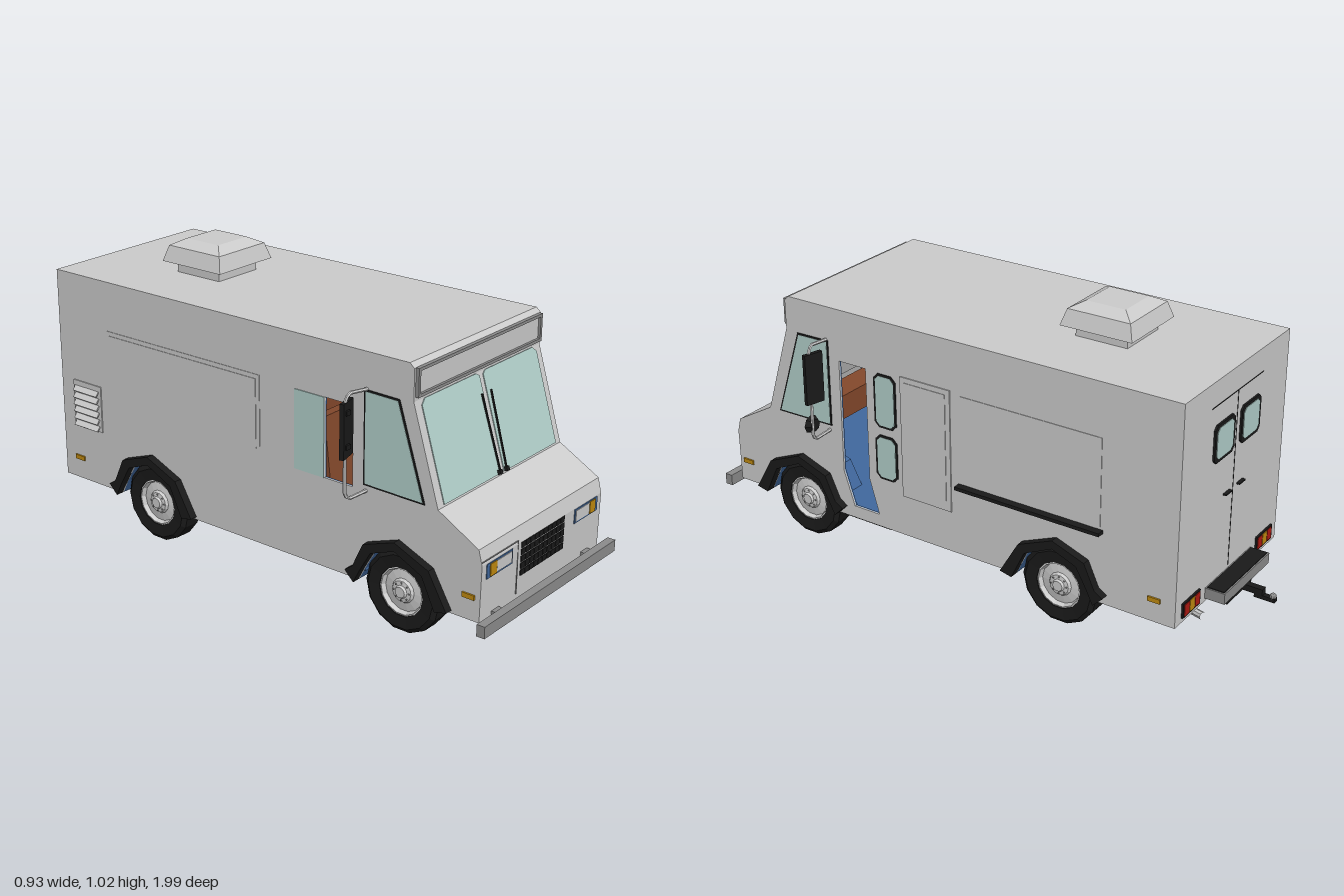
import * as THREE from 'three';

const mat = (color, extra = {}) => new THREE.MeshStandardMaterial({ color, flatShading: true, ...extra });
const grey = mat(0xcccccc), black = mat(0x1a1a1a), blue = mat(0x41699f), glass = mat(0xb2d0cb);
const brown = mat(0x85492c), amber = mat(0xc08a10), red = mat(0xb01a12), dark = mat(0x8c8c8c);
const rim = mat(0xcccccc, { side: THREE.DoubleSide });

export function createModel() {
  const model = new THREE.Group();
  model.name = 'stepVan';

  const add = (name, geo, material, parent = model) => {
    const m = new THREE.Mesh(geo, material);
    m.name = name;
    parent.add(m);
    return m;
  };
  // Box given by its x, y and z ranges
  const box = (name, [x0, x1], [y0, y1], [z0, z1], material, parent) => {
    const m = add(name, new THREE.BoxGeometry(Math.abs(x1 - x0), y1 - y0, Math.abs(z1 - z0)), material, parent);
    m.position.set((x0 + x1) / 2, (y0 + y1) / 2, (z0 + z1) / 2);
    return m;
  };
  const poly = pts => new THREE.Shape(pts.map(p => new THREE.Vector2(...p)));
  // Rectangle with corners cut by c
  const rect = (a0, a1, b0, b1, c = 0) => c === 0 ? [[a0, b0], [a1, b0], [a1, b1], [a0, b1]]
    : [[a0 + c, b0], [a1 - c, b0], [a1, b0 + c], [a1, b1 - c], [a1 - c, b1], [a0 + c, b1], [a0, b1 - c], [a0, b0 + c]];
  // Slab with a (z, y) outline, lying between |x| = x0 and x1 on side s
  const slab = (name, shape, s, x0, x1, material) => {
    const geo = new THREE.ExtrudeGeometry(shape, { depth: x1 - x0, bevelEnabled: false });
    geo.rotateY(-Math.PI / 2).translate(s > 0 ? x1 : -x0, 0, 0);
    return add(name, geo, material);
  };
  const tube = (name, pts, r, material, sides = 6, tension = 0.05) => add(name, new THREE.TubeGeometry(
    new THREE.CatmullRomCurve3(pts.map(p => new THREE.Vector3(...p)), false, 'catmullrom', tension), 32, r, sides), material);

  const W = 0.345, wheelZ = [0.65, -0.4];
  const archOuter = [[0.2, 0.15], [0.185, 0.175], [0.13, 0.27], [0.0, 0.325], [-0.12, 0.282], [-0.16, 0.195], [-0.19, 0.175]];
  const archInner = [[0.155, 0.14], [0.105, 0.245], [0.0, 0.295], [-0.09, 0.26], [-0.13, 0.19], [-0.155, 0.14]];
  const shift = (pts, z) => pts.map(([a, b]) => [a + z, b]);

  // Roof, back, visor, windscreen slope, hood and nose as one bent sheet
  const profile = [[-0.835, 0.14], [-0.835, 0.905], [0.675, 0.905], [0.692, 0.89], [0.692, 0.785],
    [0.79, 0.465], [0.94, 0.38], [0.953, 0.33], [0.95, 0.14]];
  const inner = profile.map(([z, y]) => [z - 0.012 * Math.sign(z), y > 0.2 ? y - 0.01 : y]);
  slab('bodySheet', poly([...profile, ...inner.slice().reverse()]), 1, -W + 0.001, W - 0.001, grey);

  // Side walls with wheel arches and door openings, lined inside
  const notches = [...shift(archInner, wheelZ[0]), ...shift(archInner, wheelZ[1])];
  const doorways = {
    1: [[0.318, 0.185], [0.425, 0.185], [0.467, 0.31], [0.467, 0.72], [0.355, 0.72], [0.355, 0.31]],
    [-1]: rect(0.355, 0.467, 0.45, 0.72),
  };
  for (const s of [1, -1]) {
    const doorway = new THREE.Path(doorways[s].map(p => new THREE.Vector2(...p)));
    const wall = poly([...profile, ...notches]), lining = poly([...inner, ...notches]);
    wall.holes.push(doorway);
    lining.holes.push(doorway);
    slab('sideWall', wall, s, W - 0.006, W, grey);
    slab('sideLining', lining, s, W - 0.011, W - 0.006, blue);

    for (const z of wheelZ) {
      slab('archTrim', poly([...shift(archOuter, z), ...shift(archInner, z).reverse()]), s, W - 0.004, 0.373, black);
      const liner = archInner.map(([a, b]) => [a * 1.06, b + (b > 0.2 ? 0.01 : 0)]);
      slab('wheelWell', poly([...shift(liner, z), ...shift(archInner, z).reverse()]), s, 0.21, W - 0.006, blue);
      slab('wheelWellWall', poly(shift(liner, z)), s, 0.205, 0.212, blue);
    }
    for (const [z0, z1] of [[-0.83, -0.54], [-0.26, 0.515], [0.79, 0.94]])
      box('sideFloor', [s * 0.205, s * 0.335], [0.172, 0.182], [z0, z1], blue);

    // Cab window
    slab('cabWindowSeal', poly([[0.743, 0.467], [0.642, 0.782], [0.51, 0.784], [0.51, 0.47]]), s, W, W + 0.003, black);
    slab('cabWindow', poly([[0.735, 0.473], [0.637, 0.776], [0.516, 0.778], [0.516, 0.476]]), s, W, W + 0.004, glass);
    for (const z of [0.91, -0.76]) box('sideMarker', [s * W, s * 0.351], [0.212, 0.228], [z - 0.022, z + 0.022], amber);

    // Mirror on its bent bracket
    tube('mirrorBracket', [[s * 0.34, 0.785, 0.52], [s * 0.425, 0.795, 0.515], [s * 0.442, 0.775, 0.512],
      [s * 0.442, 0.475, 0.512], [s * 0.428, 0.452, 0.515], [s * 0.34, 0.452, 0.52]], 0.006, grey);
    const mirror = box('mirror', [s * 0.395, s * 0.465], [0.59, 0.77], [0.5, 0.515], black);
    mirror.rotation.y = s * -0.25;
    for (const y of [0.62, 0.73]) box('mirrorClamp', [s * 0.43, s * 0.45], [y, y + 0.015], [0.505, 0.525], black);

    // Headlamp, tail lamp and rear window
    box('lampBezel', [s * 0.18, s * 0.32], [0.278, 0.327], [0.94, 0.955], blue);
    box('headlamp', [s * 0.186, s * 0.268], [0.284, 0.322], [0.945, 0.957], grey);
    box('turnLamp', [s * 0.27, s * 0.304], [0.282, 0.324], [0.945, 0.958], amber);
    box('tailLampBase', [s * 0.195, s * 0.305], [0.158, 0.21], [-0.842, -0.83], black);
    [red, amber, red].forEach((m, i) =>
      box('tailLamp', [s * (0.2 + i * 0.034), s * (0.231 + i * 0.034)], [0.163, 0.205], [-0.844, -0.83], m));
    for (const [name, inset, z, m] of [['rearWindowSeal', 0, -0.842, black], ['rearWindow', 0.011, -0.844, glass]]) {
      const shape = poly(rect(-0.065 + inset, 0.065 - inset, -0.065 + inset, 0.065 - inset, 0.014));
      const geo = new THREE.ExtrudeGeometry(shape, { depth: 0.012, bevelEnabled: false });
      add(name, geo, m).position.set(s * 0.087, 0.69, z);
    }
    box('rearHandle', [s * 0.025, s * 0.065], [0.483, 0.488], [-0.847, -0.83], black);
    box('bumperMount', [s * 0.24, s * 0.28], [0.125, 0.155], [0.93, 0.975], dark);
  }
  box('rearDoorSeam', [-0.0015, 0.0015], [0.2, 0.82], [-0.836, -0.83], black);
  box('rearDoorTopSeam', [-0.17, 0.17], [0.819, 0.822], [-0.836, -0.83], black);
  box('centreFloor', [-0.205, 0.205], [0.172, 0.182], [-0.83, 0.94], blue);
  box('doorStep', [0.23, 0.34], [0.135, 0.145], [0.27, 0.48], black);

  // Serving side: hatch, counter, framed panel and split door windows
  slab('servingHatch', poly(rect(-0.56, -0.03, 0.41, 0.72)), 1, W, W + 0.002, grey);
  slab('counter', poly(rect(-0.57, -0.02, 0.392, 0.404)), 1, W, 0.372, black);
  slab('sidePanel', poly(rect(0.01, 0.21, 0.29, 0.73)), 1, W, W + 0.004, grey);
  slab('sidePanelInset', poly(rect(0.028, 0.192, 0.308, 0.712)), 1, W, W + 0.006, grey);
  for (const [y0, y1] of [[0.522, 0.718], [0.329, 0.494]]) {
    slab('doorWindowSeal', poly(rect(0.23, 0.321, y0, y1, 0.018)), 1, W, W + 0.003, black);
    slab('doorWindow', poly(rect(0.238, 0.313, y0 + 0.008, y1 - 0.008, 0.014)), 1, W, W + 0.004, glass);
  }
  // Opposite side: sliding glass, blank panel and louvres
  slab('slidingGlass', poly(rect(0.235, 0.355, 0.45, 0.72)), -1, W, W + 0.003, glass);
  slab('blankPanel', poly(rect(-0.6, 0.09, 0.46, 0.73)), -1, W, W + 0.002, grey);
  slab('blankPanelInset', poly(rect(-0.585, 0.075, 0.475, 0.715)), -1, W, W + 0.004, grey);
  slab('louvreFrame', poly(rect(-0.775, -0.64, 0.345, 0.515)), -1, W, W + 0.004, grey);
  for (let i = 0; i < 6; i++) {
    const m = box('louvre', [-0.345, -0.366], [0.355 + i * 0.026, 0.36 + i * 0.026], [-0.765, -0.65], grey);
    m.rotation.z = 0.9;
  }

  // Windscreen with wipers, on the slope
  const screen = new THREE.Group();
  screen.name = 'windscreen';
  screen.position.set(0, 0.627, 0.742);
  screen.rotation.x = -Math.atan2(0.098, 0.32);
  model.add(screen);
  const pane = poly([[0.01, -0.162], [0.315, -0.162], [0.315, 0.148], [0.295, 0.165], [0.025, 0.165], [0.01, 0.155]]);
  const paneGeo = new THREE.ExtrudeGeometry(pane, { depth: 0.003, bevelEnabled: false });
  for (const s of [1, -1]) {
    const geo = s > 0 ? paneGeo : paneGeo.clone().rotateY(Math.PI).translate(0, 0, 0.003);
    add('windscreenPane', geo, glass, screen);
    const wiper = box('wiper', [s * 0.019, s * 0.024], [-0.155, 0.1], [0.006, 0.011], black, screen);
    wiper.rotation.z = s > 0 ? -0.03 : 0.03;
    box('wiperPivot', [s * 0.012, s * 0.026], [-0.162, -0.148], [0, 0.014], black, screen);
  }

  // Framed sign board over the windscreen
  box('signPanel', [-0.33, 0.33], [0.8, 0.89], [0.68, 0.695], grey);
  for (const y of [0.798, 0.881]) box('signFrame', [-0.338, 0.338], [y, y + 0.01], [0.685, 0.704], dark);
  for (const s of [1, -1]) box('signFrame', [s * 0.328, s * 0.338], [0.8, 0.89], [0.685, 0.704], dark);

  // Nose: grille slots, seams and bumper
  for (let c = 0; c < 10; c++) for (let r = 0; r < 5; r++) {
    const x = -0.13 + c * 0.0251, y = 0.216 + r * 0.0235;
    box('grilleSlot', [x, x + 0.022], [y, y + 0.019], [0.94, 0.955], black);
  }
  box('noseSeam', [-0.149, -0.147], [0.16, 0.34], [0.94, 0.9538], dark);
  box('noseSeam', [-0.344, -0.147], [0.339, 0.341], [0.94, 0.9538], dark);
  box('frontBumper', [-0.385, 0.382], [0.12, 0.16], [0.968, 0.997], dark);

  // Roof vent
  box('ventBase', [-0.1, 0.09], [0.9, 0.95], [-0.49, -0.3], grey);
  const cap = [[0, 0.945], [0.132, 0.945], [0.115, 1.0], [0.072, 1.023], [0, 1.023]]
    .map(([a, y]) => new THREE.Vector2(a * Math.SQRT2, y));
  const vent = add('ventCap', new THREE.LatheGeometry(cap, 4, Math.PI / 4), grey);
  vent.position.set(-0.004, 0, -0.395);

  // Wheels
  const lathe = (pts, n) => new THREE.LatheGeometry(pts.map(p => new THREE.Vector2(...p)), n).rotateZ(-Math.PI / 2);
  const tyreGeo = lathe([[0.083, -0.038], [0.125, -0.042], [0.14, -0.03], [0.14, 0.03], [0.125, 0.042], [0.083, 0.038], [0.083, -0.038]], 14);
  const rimGeo = lathe([[0.085, 0.034], [0.078, 0.036], [0.072, 0.02], [0.042, 0.025], [0.036, 0.034], [0.022, 0.036], [0.018, 0.044], [0, 0.044]], 14);
  const nutGeo = new THREE.CylinderGeometry(0.003, 0.003, 0.006, 6).rotateZ(Math.PI / 2);
  for (const z of wheelZ) for (const s of [1, -1]) {
    const wheel = new THREE.Group();
    wheel.name = 'wheel';
    wheel.position.set(s * 0.293, 0.14, z);
    wheel.rotation.y = s > 0 ? 0 : Math.PI;
    model.add(wheel);
    add('tyre', tyreGeo, black, wheel);
    add('rim', rimGeo, rim, wheel);
    for (let i = 0; i < 8; i++) {
      const a = i * Math.PI / 4;
      add('wheelNut', nutGeo, dark, wheel).position.set(0.035, Math.cos(a) * 0.029, Math.sin(a) * 0.029);
    }
  }

  // Axles, drive shaft and exhausts
  for (const z of wheelZ) {
    tube('axle', [[-0.28, 0.14, z], [0, 0.14, z], [0.28, 0.14, z]], 0.015, grey, 8);
    box('axleHousing', [-0.045, 0.045], [0.115, 0.17], [z - 0.045, z + 0.045], grey);
  }
  tube('driveShaft', [[0, 0.145, 0.65], [0, 0.15, 0.1], [0, 0.145, -0.4]], 0.01, grey, 8);
  for (const s of [1, -1]) {
    const muffler = box('muffler', [s * 0.11, s * 0.175], [0.108, 0.148], [-0.69, -0.5], grey);
    muffler.rotation.set(-0.12, 0, s * -0.5);
    tube('tailPipe', [[s * 0.143, 0.118, -0.66], [s * 0.148, 0.1, -0.74], [s * 0.155, 0.094, -0.8], [s * 0.168, 0.096, -0.84]], 0.013, grey, 8, 0.5);
  }

  // Rear step and tow hitch
  box('rearStep', [-0.16, 0.152], [0.152, 0.19], [-0.905, -0.835], dark);
  box('rearStepTread', [-0.155, 0.147], [0.188, 0.193], [-0.9, -0.84], black);
  box('hitchCrossbar', [-0.09, 0.08], [0.107, 0.137], [-0.88, -0.83], black);
  box('hitchBar', [-0.052, -0.028], [0.108, 0.13], [-0.95, -0.72], black);
  box('hitchTongue', [-0.05, -0.03], [0.094, 0.108], [-0.993, -0.92], black);
  add('hitchBall', new THREE.SphereGeometry(0.012, 8, 6), dark).position.set(-0.04, 0.112, -0.983);

  // Round blind-spot mirror
  const round = add('roundMirror', new THREE.CylinderGeometry(0.033, 0.022, 0.02, 8).rotateX(Math.PI / 2), black);
  round.position.set(0.43, 0.505, 0.52);

  // Cab interior
  box('seatBase', [-0.24, -0.06], [0.18, 0.3], [0.3, 0.47], brown);
  const back = box('seatBack', [-0.24, -0.06], [0.28, 0.6], [0.25, 0.29], brown);
  back.rotation.x = -0.12;
  box('cabPartition', [-0.33, 0.33], [0.182, 0.7], [0.2, 0.21], brown);
  box('dashboard', [-0.33, 0.33], [0.36, 0.45], [0.66, 0.76], brown);
  tube('steeringColumn', [[-0.15, 0.2, 0.62], [-0.15, 0.32, 0.55], [-0.15, 0.43, 0.48]], 0.01, black);
  const steering = add('steeringWheel', new THREE.TorusGeometry(0.055, 0.007, 6, 14), black);
  steering.position.set(-0.15, 0.43, 0.48);
  steering.rotation.x = 1.0;
  return model;
}
